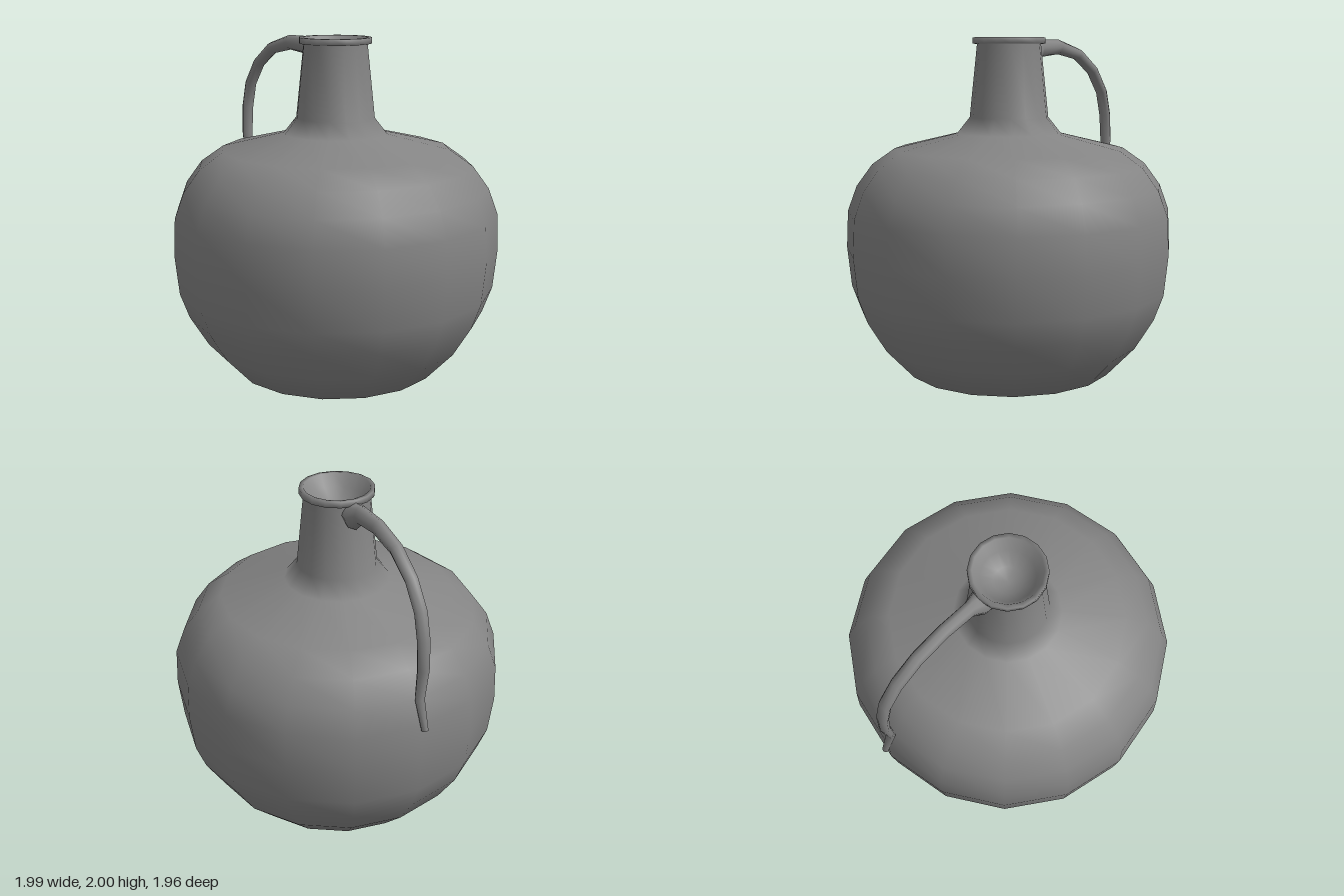
import * as THREE from 'three';
import { mergeVertices } from 'three/addons/utils/BufferGeometryUtils.js';

const material = new THREE.MeshStandardMaterial({ color: 0x848484 });

// Smooth tube in the xy plane; each section is [x, y, half thickness, half width in z]
function taperedTube(sections, sides) {
  const positions = [], index = [];
  const last = sections.length - 1;
  sections.forEach(([x, y, thick, wide], i) => {
    const before = sections[Math.max(i - 1, 0)], after = sections[Math.min(i + 1, last)];
    const t = new THREE.Vector2(after[0] - before[0], after[1] - before[1]).normalize();
    for (let j = 0; j < sides; j++) {
      const a = (j / sides) * Math.PI * 2;
      const r = thick * Math.cos(a);
      positions.push(x - t.y * r, y + t.x * r, wide * Math.sin(a));
    }
  });
  for (let i = 0; i < last; i++) {
    for (let j = 0; j < sides; j++) {
      const k = (j + 1) % sides;
      const a = i * sides + j, b = i * sides + k;
      index.push(a, b, a + sides, b, b + sides, a + sides);
    }
  }
  // Close the free end
  const tip = sections[last];
  positions.push(tip[0], tip[1], 0);
  for (let j = 0; j < sides; j++) {
    index.push((last + 1) * sides, last * sides + j, last * sides + (j + 1) % sides);
  }
  const geometry = new THREE.BufferGeometry();
  geometry.setAttribute('position', new THREE.Float32BufferAttribute(positions, 3));
  geometry.setIndex(index);
  geometry.computeVertexNormals();
  return geometry;
}

// Turned shape with normals averaged over the surrounding faces
function turned(points, sides) {
  const lathe = new THREE.LatheGeometry(points.map(([r, y]) => new THREE.Vector2(r, y)), sides);
  lathe.deleteAttribute('uv');
  lathe.deleteAttribute('normal');
  const geometry = mergeVertices(lathe, 1e-4);
  geometry.computeVertexNormals();
  return geometry;
}

export function createModel() {
  const jug = new THREE.Group();
  jug.name = 'jug';

  // Base, belly, shoulder, neck, lip and dished mouth in one profile
  const body = new THREE.Mesh(turned([
    [0, 0], [0.62, 0], [0.79, 0.18], [0.9, 0.36], [0.955, 0.51], [0.98, 0.75],
    [0.97, 0.97], [0.915, 1.12], [0.82, 1.25], [0.685, 1.345], [0.31, 1.435],
    [0.235, 1.53], [0.19, 1.96], [0.215, 1.965], [0.215, 2], [0.19, 2],
    [0.15, 1.93], [0.08, 1.87], [0, 1.855],
  ], 16), material);
  body.name = 'body';
  body.position.x = 0.015;
  jug.add(body);

  // Handle flares out of the neck, arches over and rests on the belly
  const handle = new THREE.Mesh(taperedTube([
    [-0.16, 1.915, 0.06, 0.07], [-0.19, 1.905, 0.08, 0.068], [-0.26, 1.938, 0.055, 0.042],
    [-0.44, 1.945, 0.045, 0.04], [-0.63, 1.9, 0.037, 0.04], [-0.785, 1.795, 0.032, 0.04],
    [-0.885, 1.655, 0.03, 0.04], [-0.925, 1.5, 0.03, 0.04], [-0.935, 1.33, 0.03, 0.036],
    [-0.915, 1.13, 0.024, 0.03], [-0.98, 0.96, 0.02, 0.02],
  ], 8), material);
  handle.name = 'handle';
  jug.add(handle);

  return jug;
}
